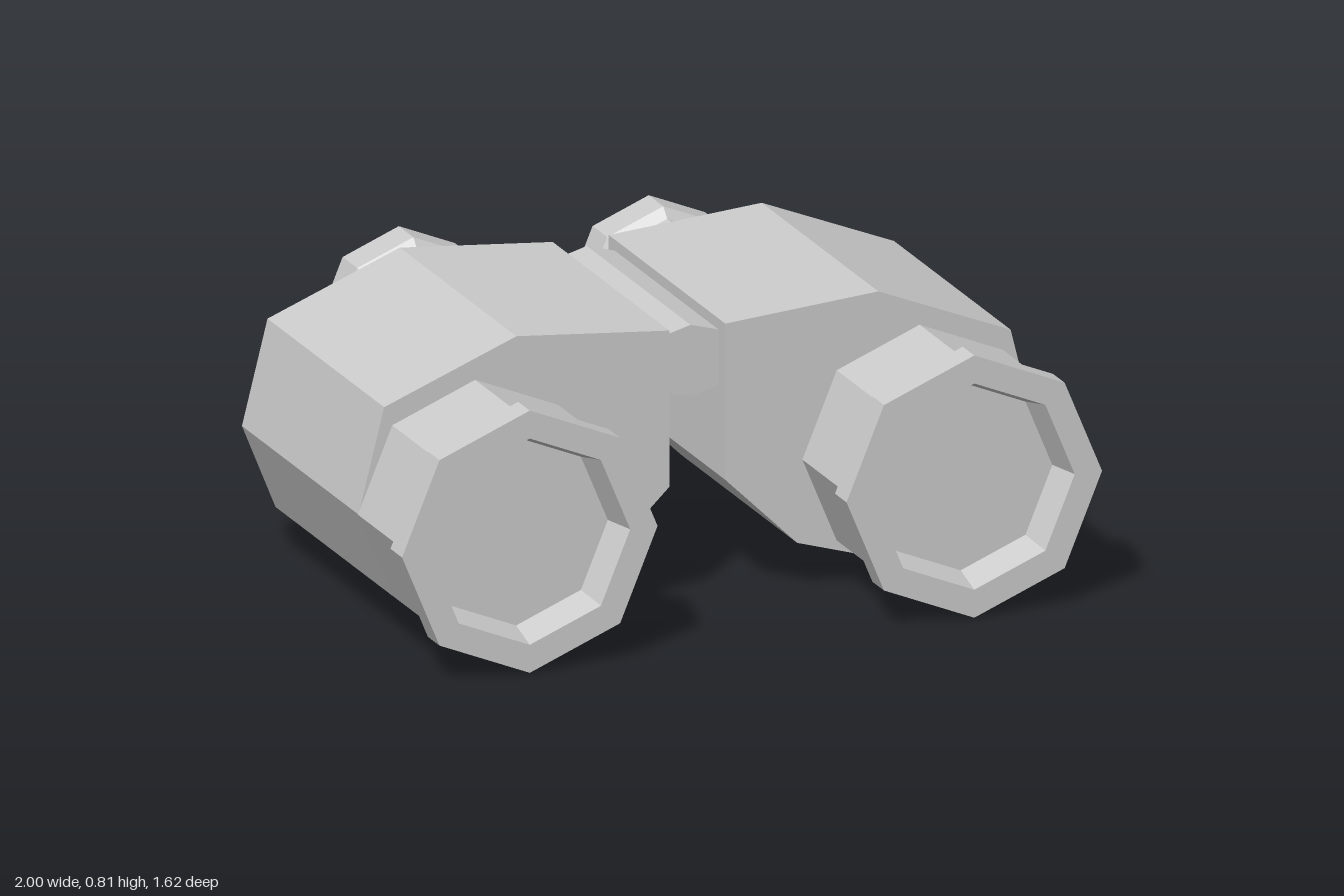
import * as THREE from 'three';

const grey = new THREE.MeshStandardMaterial({ color: 0xcccccc, flatShading: true });

// Prism along z from an outline of [x, y] points
function prism(name, points, zBack, zFront) {
  const shape = new THREE.Shape(points.map(([x, y]) => new THREE.Vector2(x, y)));
  const geo = new THREE.ExtrudeGeometry(shape, { depth: zFront - zBack, bevelEnabled: false });
  geo.translate(0, 0, zBack);
  const mesh = new THREE.Mesh(geo, grey);
  mesh.name = name;
  return mesh;
}

// Eight-sided tube with a flared rim and a recessed lens; dir is +1 (front) or -1 (back)
function barrel(name, profile, x, y, dir) {
  const geo = new THREE.LatheGeometry(profile.map(([r, d]) => new THREE.Vector2(r, d)), 8);
  geo.rotateX(dir * Math.PI / 2);
  const mesh = new THREE.Mesh(geo, grey);
  mesh.name = name;
  mesh.position.set(x, y, 0);
  return mesh;
}

// Outline of the housing on the +x side
const housing = [
  [0.08, 0.775], [0.08, 0.34], [0.285, 0.14], [0.635, 0.036],
  [0.872, 0.133], [0.968, 0.37], [0.895, 0.66], [0.517, 0.812],
];

// Profiles as [radius, distance from the middle]
const objective = [
  [0.335, 0.42], [0.335, 0.69], [0.365, 0.725], [0.365, 0.807],
  [0.287, 0.807], [0.262, 0.71], [0, 0.71],
];
const eyepiece = [
  [0.2, 0.405], [0.2, 0.677], [0.227, 0.705], [0.227, 0.808],
  [0.177, 0.808], [0.162, 0.72], [0, 0.72],
];

export function createModel() {
  const model = new THREE.Group();
  model.name = 'binoculars';

  // Two mirrored halves
  for (const [side, s] of [['left', 1], ['right', -1]]) {
    const half = new THREE.Group();
    half.name = side + 'Half';
    half.add(
      prism(side + 'Housing', housing.map(([x, y]) => [s * x, y]), -0.405, 0.42),
      barrel(side + 'Objective', objective, s * 0.635, 0.37, 1),
      barrel(side + 'Eyepiece', eyepiece, s * 0.357, 0.505, -1),
    );
    model.add(half);
  }

  // Hinge between the halves
  model.add(prism('hinge', [
    [0, 0.767], [-0.085, 0.743], [-0.085, 0.592],
    [0, 0.568], [0.085, 0.592], [0.085, 0.743],
  ], -0.362, 0.372));

  return model;
}
